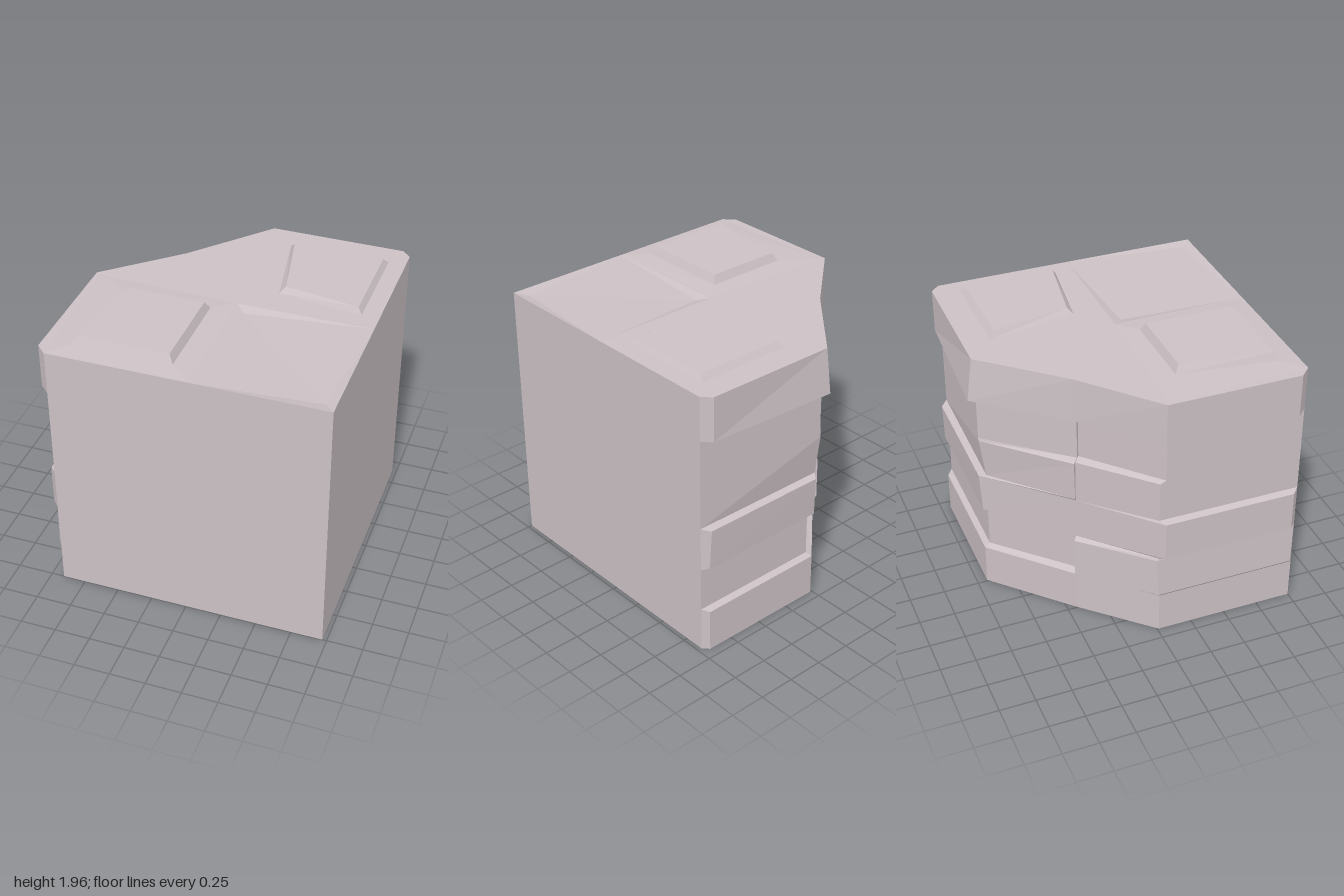
import * as THREE from 'three';

const TOP = 1.89;
const material = new THREE.MeshStandardMaterial({ color: 0xccc1c5, flatShading: true, side: THREE.DoubleSide });

function meshFrom(name, triangles) {
  const geometry = new THREE.BufferGeometry();
  geometry.setAttribute('position', new THREE.Float32BufferAttribute(triangles.flat(2), 3));
  geometry.computeVertexNormals();
  const mesh = new THREE.Mesh(geometry, material);
  mesh.name = name;
  return mesh;
}

// Flat polygon of [x, z] points at height y, facing up or down.
function cap(points, y, up = true) {
  const flat = points.map(([x, z]) => new THREE.Vector2(x, -z));
  return THREE.ShapeUtils.triangulateShape(flat, []).map(([a, b, c]) => {
    const ab = flat[b].clone().sub(flat[a]), ac = flat[c].clone().sub(flat[a]);
    const order = (ab.cross(ac) > 0) === up ? [a, b, c] : [a, c, b];
    return order.map((i) => [points[i][0], y, points[i][1]]);
  });
}

// Walls joining successive rings [y, points]; points run counter-clockwise from above.
function walls(rings) {
  const triangles = [];
  for (let r = 0; r + 1 < rings.length; r++) {
    const [y0, low] = rings[r], [y1, high] = rings[r + 1];
    low.forEach((p, i) => {
      const j = (i + 1) % low.length;
      const a = [p[0], y0, p[1]], b = [low[j][0], y0, low[j][1]];
      const c = [high[j][0], y1, high[j][1]], d = [high[i][0], y1, high[i][1]];
      triangles.push([a, b, c], [a, c, d]);
    });
  }
  return triangles;
}

// Plan outline. Arguments say how far the stone stands out at the back's outer end,
// the back corner, along the diagonal (start, middle twice, end) and on the side.
function plan(back, corner, d, m1, m2, e, side) {
  return [
    [-0.91, 1], [0.97, 1], [0.97, -0.89], [0.97 - back, -0.89 - back],
    [corner - 1.41 * d, -0.89 - corner],
    [-0.48 - 0.7 * m1, -0.42 - 0.7 * m1],
    [-0.48 - 0.7 * m2, -0.42 - 0.7 * m2],
    [-0.91 - side, 0.01 + side - 1.41 * e], [-0.91 - side, 1 - side],
  ];
}

function slab(name, base, top, y0, y1) {
  return meshFrom(name, [...walls([[y0, base], [y1, top]]), ...cap(top, y1)]);
}

export function createModel() {
  const group = new THREE.Group();
  group.name = 'stoneBlock';

  // Coursed body: protruding and recessed rows with sloped ledges
  const rings = [
    [0, plan(0.04, 0.04, 0.02, 0.02, 0.02, 0, 0)],
    [0.30, plan(0.04, 0.04, 0.02, 0.02, 0.02, 0, 0)],
    [0.32, plan(0, 0, -0.02, -0.03, 0.045, 0.02, 0.015)],
    [0.61, plan(0, 0, -0.02, -0.03, 0.045, 0.02, 0.005)],
    [0.63, plan(0, 0, -0.02, -0.03, 0.01, 0.01, 0)],
    [0.645, plan(0.04, 0.04, 0.025, 0.01, 0.01, 0.02, 0.045)],
    [0.93, plan(0.05, 0.055, 0.03, 0.01, 0.01, 0.02, 0.045)],
    [0.945, plan(0, 0.01, 0.02, 0.02, 0.01, 0.01, 0)],
    [1.24, plan(0, 0.05, 0.05, 0.03, 0.01, 0.01, 0)],
    [1.26, plan(0, 0.05, 0.045, -0.02, -0.04, -0.02, 0)],
    [1.58, plan(0, 0.05, 0.045, -0.02, -0.04, -0.02, 0)],
    [1.58, plan(0.06, 0.11, 0.1, 0.03, 0.03, 0.055, 0.07)],
    [TOP, plan(0.06, 0.07, 0.07, 0.02, 0.02, 0.055, 0.07)],
  ];
  group.add(meshFrom('coursedBody', [...cap(rings[0][1], 0, false), ...walls(rings)]));

  // Top face around the shallow basin
  const [frontLeft, , ...rest] = rings[rings.length - 1][1];
  group.add(meshFrom('topFace', cap([frontLeft, [0.05, 1], [0.04, 0.06], [0.97, 0.06], ...rest], TOP)));

  // Shallow worn basin in one quarter
  const a = [0.04, TOP, 0.06], b = [0.05, TOP, 1], c = [0.97, TOP, 1], d = [0.97, TOP, 0.06];
  const low1 = [0.11, TOP - 0.02, 0.13], low2 = [0.9, TOP - 0.015, 0.92];
  group.add(meshFrom('wornBasin', [
    [a, low1, d], [a, b, low1], [b, c, low2], [c, d, low2], [low1, b, low2], [low1, low2, d],
  ]));

  // Raised paving slabs, the front one on a faint mound
  const frontBase = [[-0.78, 0.865], [-0.1, 0.865], [-0.1, 0.18], [-0.69, 0.18]];
  group.add(
    slab('frontSlabMound', [[-0.91, 0.99], [0.04, 0.99], [0.03, 0.06], [-0.95, 0.02]], frontBase, TOP, 1.9),
    slab('frontSlab', frontBase, [[-0.75, 0.835], [-0.13, 0.835], [-0.13, 0.21], [-0.66, 0.21]], 1.9, 1.955),
    slab('backSlab', [[0.265, -0.15], [0.85, -0.07], [0.85, -0.77], [0.155, -0.77]],
      [[0.3, -0.185], [0.82, -0.1], [0.82, -0.735], [0.19, -0.735]], TOP, 1.93),
  );
  return group;
}
